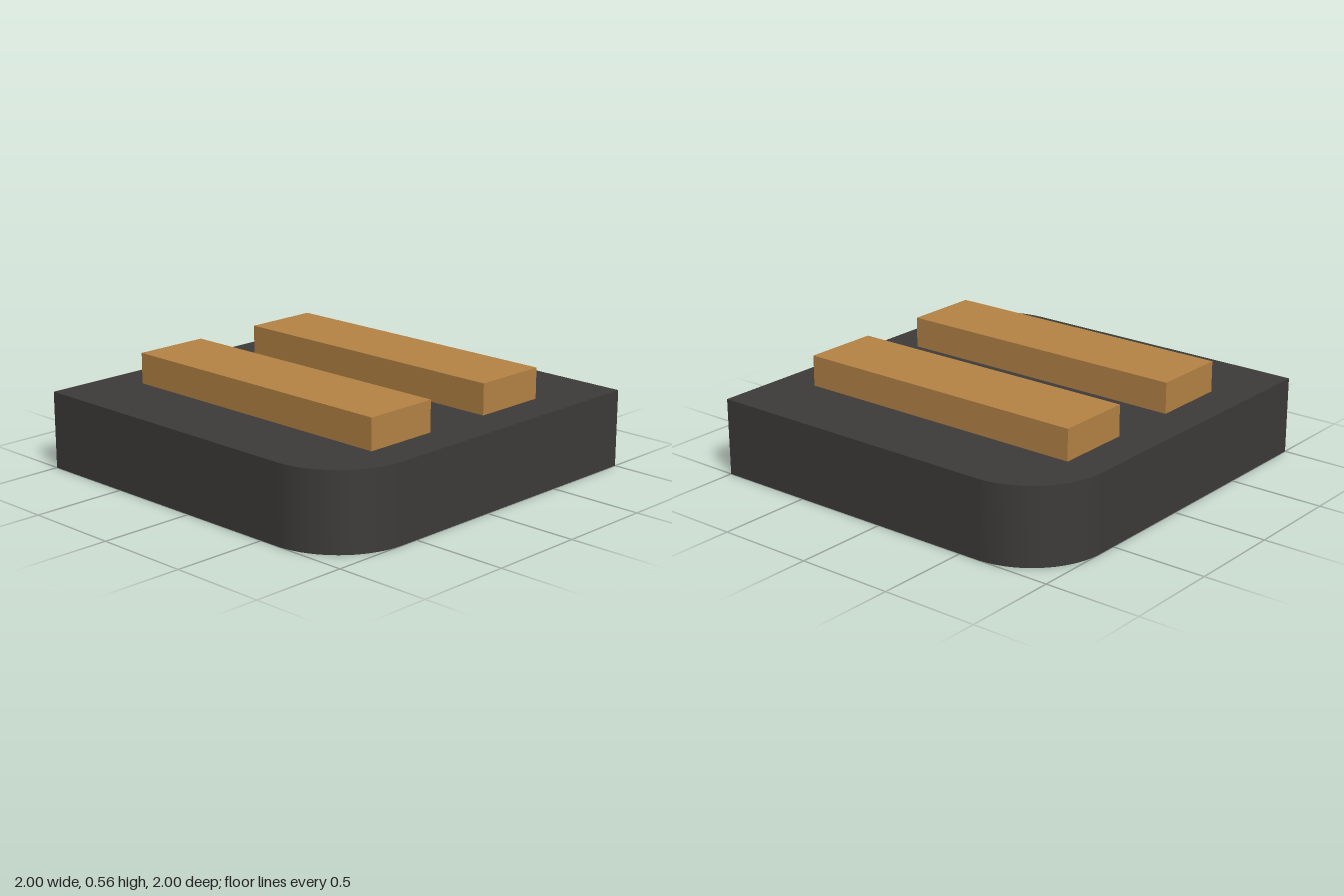
import * as THREE from 'three';

export function createModel() {
  const model = new THREE.Group();
  const dark = new THREE.MeshStandardMaterial({ color: 0x3d3b39 });
  const wood = new THREE.MeshStandardMaterial({ color: 0xb58345 });

  // Square slab with two opposite corners rounded (shape y becomes -z)
  const r = 0.4;
  const outline = new THREE.Shape();
  outline.moveTo(-1, -1);
  outline.lineTo(1 - r, -1);
  outline.absarc(1 - r, -1 + r, r, -Math.PI / 2, 0, false);
  outline.lineTo(1, 1);
  outline.lineTo(-1 + r, 1);
  outline.absarc(-1 + r, 1 - r, r, Math.PI / 2, Math.PI, false);
  outline.closePath();
  const slabGeometry = new THREE.ExtrudeGeometry(outline, {
    depth: 0.4, bevelEnabled: false, curveSegments: 24,
  });
  slabGeometry.rotateX(-Math.PI / 2);
  const slab = new THREE.Mesh(slabGeometry, dark);
  slab.name = 'baseSlab';
  model.add(slab);

  // Two parallel bars resting on the slab
  for (const [name, side] of [['frontBar', 1], ['backBar', -1]]) {
    const bar = new THREE.Mesh(new THREE.BoxGeometry(1.6, 0.16, 0.4), wood);
    bar.name = name;
    bar.position.set(0, 0.48, side * 0.39);
    model.add(bar);
  }

  return model;
}
